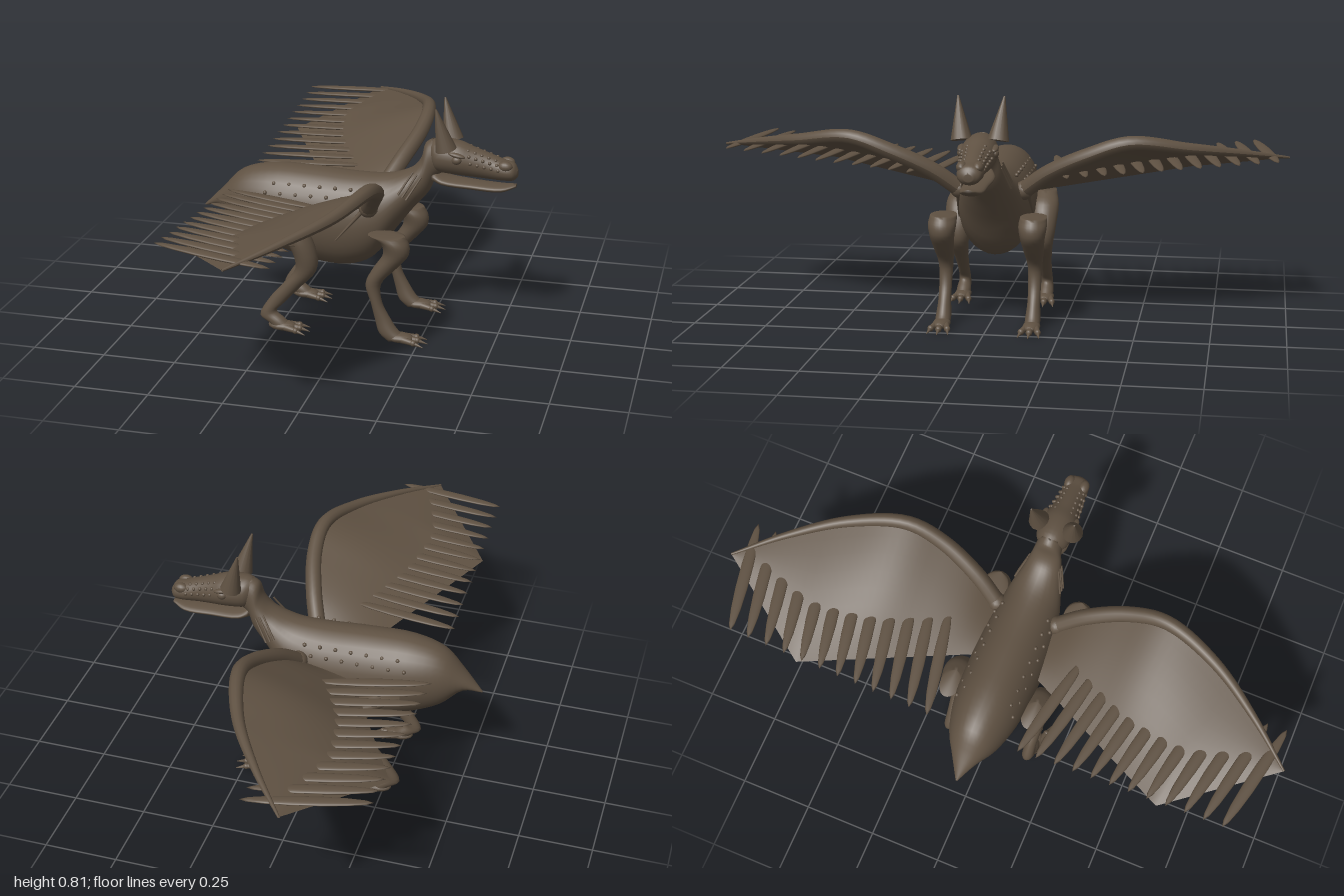
import * as THREE from 'three';

const hide = new THREE.MeshStandardMaterial({ color: 0x5f5142, side: THREE.DoubleSide });
hide.name = 'brown hide';
const V = (x, y, z) => new THREE.Vector3(x, y, z);

function add(group, name, geometry) {
  const mesh = new THREE.Mesh(geometry, hide);
  mesh.name = name;
  group.add(mesh);
  return mesh;
}

// Smooth closed loft; each row is one oval: [x, y] of its upper/front point, [x, y] of the opposite one, half width in z
function loft(rows, z = 0, sides = 24, steps = 4) {
  const a = new THREE.CatmullRomCurve3(rows.map(r => V(r[0], r[1], r[4])));
  const b = new THREE.CatmullRomCurve3(rows.map(r => V(r[2], r[3], r[4])));
  const n = (rows.length - 1) * steps, pos = [], index = [];
  for (let i = 0; i <= n; i++) {
    const p = a.getPoint(i / n), q = b.getPoint(i / n);
    const c = p.clone().add(q).multiplyScalar(0.5), u = p.clone().sub(c);
    for (let j = 0; j < sides; j++) {
      const t = j / sides * Math.PI * 2;
      pos.push(c.x + u.x * Math.cos(t), c.y + u.y * Math.cos(t), z + p.z * Math.sin(t));
      const k = i * sides + j, m = i * sides + (j + 1) % sides;
      if (i < n) index.push(k, m, k + sides, m, m + sides, k + sides);
    }
  }
  for (let j = 1; j < sides - 1; j++) {
    const e = n * sides;
    index.push(0, j + 1, j, e, e + j, e + j + 1);
  }
  const g = new THREE.BufferGeometry();
  g.setAttribute('position', new THREE.Float32BufferAttribute(pos, 3));
  g.setIndex(index);
  g.computeVertexNormals();
  return g;
}

// Tapered rod between two points
function rod(group, name, from, to, r0, r1) {
  const d = to.clone().sub(from);
  const m = add(group, name, new THREE.CylinderGeometry(r1, r0, d.length(), 14));
  m.position.copy(from).addScaledVector(d, 0.5);
  m.quaternion.setFromUnitVectors(V(0, 1, 0), d.normalize());
  return m;
}

function blob(group, name, x, y, z, rx, ry = rx, rz = rx) {
  const m = add(group, name, new THREE.SphereGeometry(1, 14, 10));
  m.position.set(x, y, z);
  m.scale.set(rx, ry, rz);
  return m;
}

// Tube along a curve whose radius shrinks from r0 to r1
function taperedTube(curve, r0, r1) {
  const n = 40, sides = 12, g = new THREE.TubeGeometry(curve, n, 1, sides);
  const p = g.attributes.position, v = V(0, 0, 0);
  for (let i = 0; i < p.count; i++) {
    const t = Math.floor(i / (sides + 1)) / n, c = curve.getPointAt(t);
    v.fromBufferAttribute(p, i).sub(c).multiplyScalar(r0 + (r1 - r0) * t * t).add(c);
    p.setXYZ(i, v.x, v.y, v.z);
  }
  g.computeVertexNormals();
  return g;
}

// Foot with three clawed toes
function foot(group, x, z) {
  blob(group, 'foot', x + 0.01, 0.018, z, 0.05, 0.017, 0.03);
  for (const k of [-1, 0, 1]) {
    const knuckle = V(x + 0.072 - Math.abs(k) * 0.008, 0.013, z + k * 0.028);
    rod(group, 'toe', V(x + 0.01, 0.018, z + k * 0.012), knuckle, 0.014, 0.009);
    blob(group, 'toeKnuckle', knuckle.x, knuckle.y, knuckle.z, 0.011);
    rod(group, 'claw', knuckle, V(knuckle.x + 0.036, 0.003, z + k * 0.036), 0.008, 0.001);
  }
}

function wing(s) {
  const g = new THREE.Group();
  g.name = s > 0 ? 'frontSideWing' : 'farSideWing';
  const lead = new THREE.CatmullRomCurve3([
    V(0.065, 0.46, 0.11 * s), V(0.105, 0.53, 0.2 * s), V(0.145, 0.6, 0.34 * s), V(0.148, 0.643, 0.47 * s),
    V(0.085, 0.62, 0.66 * s), V(-0.03, 0.59, 0.84 * s), V(-0.155, 0.558, 0.995 * s)]);
  add(g, 'wingArm', taperedTube(lead, 0.029, 0.004));
  blob(g, 'wingShoulder', 0.065, 0.46, 0.11 * s, 0.033);
  rod(g, 'shoulderSpur', V(0.05, 0.455, 0.12 * s), V(-0.045, 0.34, 0.132 * s), 0.008, 0.002);

  // Membrane between the arm and a trailing edge with one corner
  const root = V(-0.12, 0.42, 0.1 * s), corner = V(-0.4, 0.475, 0.65 * s), tip = V(-0.155, 0.558, 0.995 * s);
  const nu = 36, nv = 8, sheet = new THREE.PlaneGeometry(1, 1, nu, nv), p = sheet.attributes.position;
  for (let i = 0; i < p.count; i++) {
    const u = (i % (nu + 1)) / nu, v = Math.floor(i / (nu + 1)) / nv, k = 2 / 3;
    const edge = u < k ? root.clone().lerp(corner, u / k) : corner.clone().lerp(tip, (u - k) / (1 - k));
    const q = lead.getPointAt(u).lerp(edge, v);
    p.setXYZ(i, q.x, q.y + 0.02 * Math.sin(Math.PI * v) * Math.sin(Math.PI * u), q.z);
  }
  sheet.computeVertexNormals();
  add(g, 'wingMembrane', sheet);

  // Row of long flight feathers
  for (let i = 0; i < 12; i++) {
    const t = i / 11;
    const f = blob(g, 'feather', -0.215, 0.495 + 0.074 * t, (0.205 + 0.71 * t) * s, 0.2, 0.007, 0.021);
    f.rotation.set(0, -0.21 * s, -0.035, 'YZX');
  }
  return g;
}

export function createModel() {
  const model = new THREE.Group();
  model.name = 'wingedBeast';

  // Body, tail and neck in one skin
  add(model, 'body', loft([
    [-0.55, 0.384, -0.55, 0.379, 0.003], [-0.48, 0.455, -0.49, 0.385, 0.042], [-0.41, 0.525, -0.41, 0.315, 0.085],
    [-0.3, 0.555, -0.3, 0.265, 0.115], [-0.15, 0.555, -0.15, 0.222, 0.125], [0, 0.547, -0.03, 0.213, 0.123],
    [0.1, 0.55, 0.06, 0.25, 0.11], [0.16, 0.565, 0.14, 0.36, 0.09], [0.2, 0.588, 0.2, 0.44, 0.07],
    [0.225, 0.625, 0.25, 0.5, 0.056], [0.236, 0.67, 0.275, 0.555, 0.046], [0.26, 0.688, 0.3, 0.575, 0.043]], 0, 32));

  // Head
  add(model, 'skull', loft([
    [0.242, 0.675, 0.262, 0.585, 0.03], [0.28, 0.69, 0.28, 0.575, 0.055], [0.35, 0.685, 0.35, 0.568, 0.06],
    [0.4, 0.667, 0.4, 0.565, 0.05], [0.45, 0.65, 0.45, 0.562, 0.042], [0.5, 0.632, 0.5, 0.56, 0.043],
    [0.535, 0.622, 0.535, 0.562, 0.037], [0.55, 0.6, 0.55, 0.575, 0.015]]));
  add(model, 'lowerJaw', loft([
    [0.264, 0.58, 0.264, 0.54, 0.035], [0.3, 0.562, 0.3, 0.53, 0.048], [0.4, 0.55, 0.4, 0.522, 0.042],
    [0.5, 0.545, 0.5, 0.52, 0.036], [0.546, 0.549, 0.546, 0.538, 0.015]]));

  for (const s of [1, -1]) {
    rod(model, 'ear', V(0.317, 0.67, 0.06 * s), V(0.284, 0.81, 0.076 * s), 0.036, 0.003);
    blob(model, 'eye', 0.352, 0.633, 0.056 * s, 0.017, 0.014, 0.012);
    const brow = blob(model, 'brow', 0.352, 0.65, 0.055 * s, 0.03, 0.008, 0.012);
    brow.rotation.z = -0.2;
    blob(model, 'nostrilBump', 0.51, 0.615, 0.026 * s, 0.026, 0.018, 0.018);

    // Rows of bumps along the muzzle
    for (let row = 0; row < 3; row++) {
      for (let i = 0; i < 5; i++) {
        const x = 0.385 + i * 0.023 + row * 0.006, a = 0.55 + row * 0.42, w = 0.055 - 0.13 * (x - 0.38);
        const mid = 0.618 - 0.2 * (x - 0.38), h = 0.052 - 0.13 * (x - 0.38);
        blob(model, 'muzzleBump', x, mid + h * Math.cos(a), w * Math.sin(a) * s, 0.006);
      }
    }
    // Bumps scattered along the back
    for (let i = 0; i < 14; i++) {
      const a = i % 2 ? 0.75 : 0.98;
      blob(model, 'backBump', -0.3 + i * 0.027, 0.387 + 0.167 * Math.cos(a), 0.122 * Math.sin(a) * s, 0.007);
    }
    // Neck folds
    for (let i = 0; i < 3; i++) {
      const x = 0.16 + i * 0.014, y = 0.505 - i * 0.008;
      rod(model, 'neckFold', V(x, y, 0.083 * s), V(x + 0.045, y + 0.075, 0.058 * s), 0.004, 0.003);
    }

    // Legs
    add(model, 'frontLeg', loft([
      [0.2, 0.385, 0.075, 0.385, 0.045], [0.216, 0.352, 0.115, 0.365, 0.048], [0.214, 0.318, 0.128, 0.322, 0.042],
      [0.175, 0.27, 0.092, 0.262, 0.034], [0.12, 0.205, 0.067, 0.205, 0.025], [0.124, 0.14, 0.085, 0.14, 0.022],
      [0.152, 0.085, 0.1, 0.08, 0.022], [0.178, 0.045, 0.115, 0.03, 0.026], [0.2, 0.025, 0.145, 0.003, 0.026]], 0.153 * s));
    foot(model, 0.175, 0.153 * s);
    add(model, 'rearLeg', loft([
      [-0.2, 0.41, -0.3, 0.405, 0.035], [-0.14, 0.37, -0.235, 0.36, 0.05], [-0.105, 0.29, -0.19, 0.3, 0.045],
      [-0.108, 0.23, -0.18, 0.235, 0.035], [-0.165, 0.165, -0.225, 0.175, 0.025], [-0.225, 0.1, -0.275, 0.115, 0.02],
      [-0.25, 0.07, -0.308, 0.05, 0.021], [-0.225, 0.045, -0.275, 0.025, 0.025], [-0.205, 0.028, -0.262, 0.003, 0.026]], 0.15 * s));
    foot(model, -0.24, 0.15 * s);

    model.add(wing(s));
  }
  return model;
}
